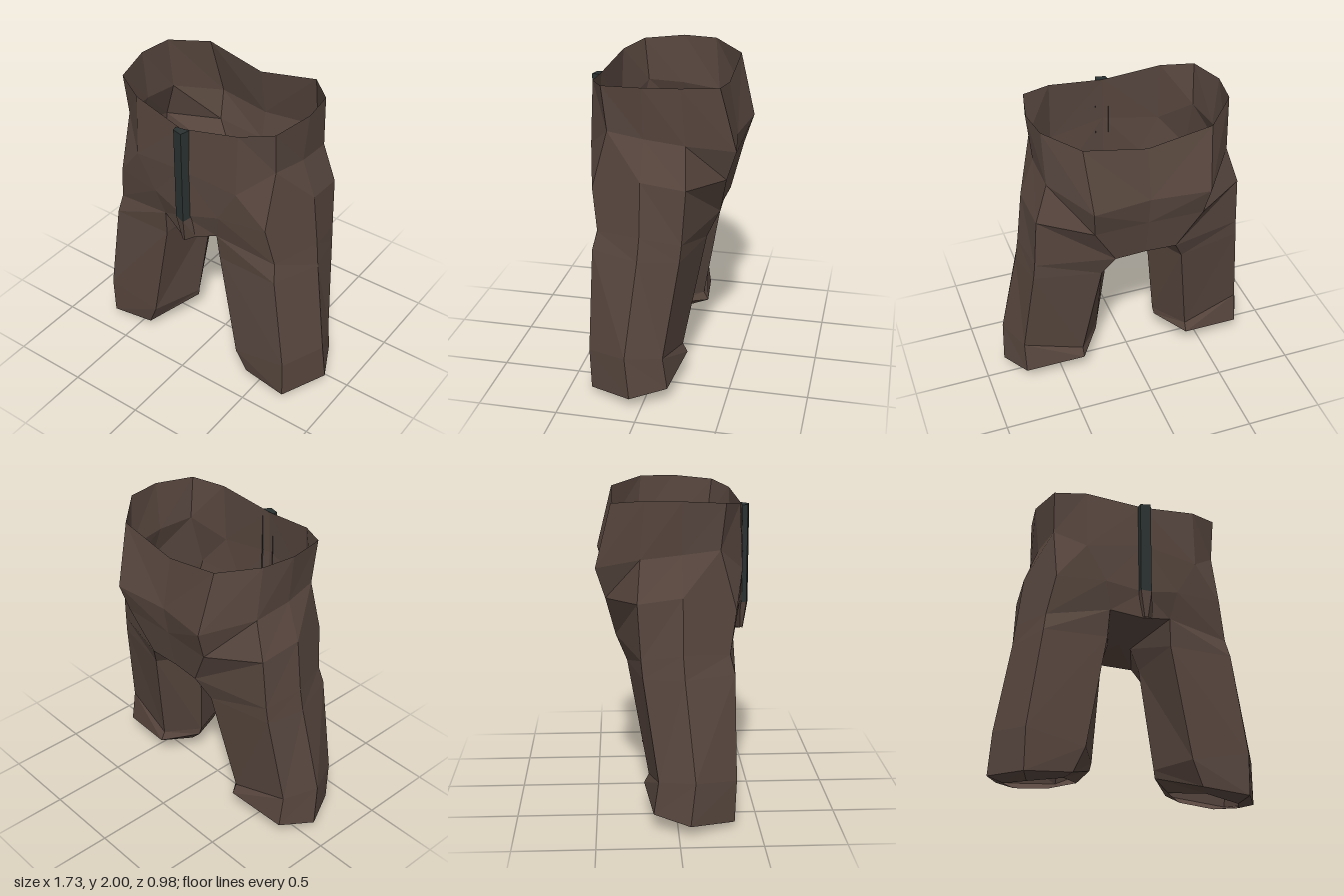
import * as THREE from 'three';

const cloth = new THREE.MeshStandardMaterial({ color: 0x57463e, flatShading: true, side: THREE.DoubleSide });
const dark = new THREE.MeshStandardMaterial({ color: 0x2a3231, flatShading: true, side: THREE.DoubleSide });

// Half rings of the hips, from centre front round the left side to centre back
const hipRings = [
  [[0, 1.89, .44], [.37, 1.95, .39], [.56, 1.98, .29], [.62, 2, .03], [.59, 2, -.19], [.4, 1.96, -.39], [0, 1.88, -.38]],
  [[0, 1.6, .45], [.37, 1.55, .41], [.55, 1.7, .26], [.59, 1.68, .03], [.58, 1.65, -.22], [.37, 1.56, -.49], [0, 1.55, -.44]],
  [[0, 1.26, .45], [.24, 1.32, .41], [.55, 1.33, .36], [.68, 1.44, .03], [.66, 1.4, -.24], [.35, 1.37, -.43], [0, 1.36, -.41]],
  [[0, 1.08, .44], [.2, 1.14, .37], [.6, 1.07, .32], [.72, 1.1, .03], [.68, 1.06, -.22], [.2, 1.1, -.37], [0, 1.1, -.36]],
];
const crotchMid = [0, 1.12, -.05];
const innerThigh = [.08, 1.1, -.05];

// Closed leg rings: front inner, front outer, outer, back outer, back inner, inner
const legRings = [
  [...hipRings[3].slice(1, 6), innerThigh],
  [[.21, .96, .35], [.62, .95, .35], [.74, .95, .04], [.69, .95, -.21], [.27, .95, -.3], [.13, .94, -.03]],
  [[.34, .22, .35], [.71, .3, .36], [.85, .34, .1], [.76, .32, -.12], [.37, .22, -.17], [.205, .24, .03]],
  [[.41, .06, .33], [.71, .03, .35], [.865, .07, .07], [.76, .11, -.15], [.37, .16, -.2], [.215, .19, .02]],
  // hem turned inward
  [[.45, .04, .27], [.67, 0, .26], [.76, .04, .06], [.66, .07, -.1], [.44, .1, -.13], [.3, .1, .03]],
];

// Build a mesh from quads with corners counter-clockwise; side = -1 mirrors it
function quadMesh(name, quads, material, side = 1) {
  const pos = [];
  for (const [a, b, c, d] of quads) {
    const tris = side > 0 ? [a, b, c, a, c, d] : [a, c, b, a, d, c];
    for (const [x, y, z] of tris) pos.push(x * side, y, z);
  }
  const g = new THREE.BufferGeometry();
  g.setAttribute('position', new THREE.Float32BufferAttribute(pos, 3));
  g.computeVertexNormals();
  const mesh = new THREE.Mesh(g, material);
  mesh.name = name;
  return mesh;
}

// Join successive rings, listed from the top down
function loft(rings, closed) {
  const quads = [];
  for (let r = 0; r < rings.length - 1; r++) {
    const up = rings[r], low = rings[r + 1], n = up.length;
    for (let i = 0; i < (closed ? n : n - 1); i++) {
      const j = (i + 1) % n;
      quads.push([up[i], low[i], low[j], up[j]]);
    }
  }
  return quads;
}

export function createModel() {
  const model = new THREE.Group();
  model.name = 'trousers';

  for (const [label, side] of [['left', 1], ['right', -1]]) {
    model.add(quadMesh(label + 'Hip', loft(hipRings, false), cloth, side));
    model.add(quadMesh(label + 'Leg', loft(legRings, true), cloth, side));
    const [front, frontInner, , , , backInner, back] = hipRings[3];
    model.add(quadMesh(label + 'Crotch', [
      [front, crotchMid, innerThigh, frontInner],
      [crotchMid, back, backInner, innerThigh],
    ], cloth, side));
  }

  // Raised fly: dark strip above a short cloth end that narrows to the crotch
  const fly = [
    [[-.035, 1.89, .44], [-.03, 1.89, .475], [.035, 1.89, .49], [.055, 1.895, .435]],
    [[-.035, 1.26, .44], [-.03, 1.26, .475], [.035, 1.25, .49], [.055, 1.26, .435]],
    [[-.01, 1.09, .43], [0, 1.08, .455], [.02, 1.08, .46], [.07, 1.1, .41]],
  ];
  model.add(quadMesh('flyStrip', [...loft(fly.slice(0, 2), false), fly[0]], dark));
  model.add(quadMesh('flyEnd', loft(fly.slice(1), false), cloth));
  return model;
}
